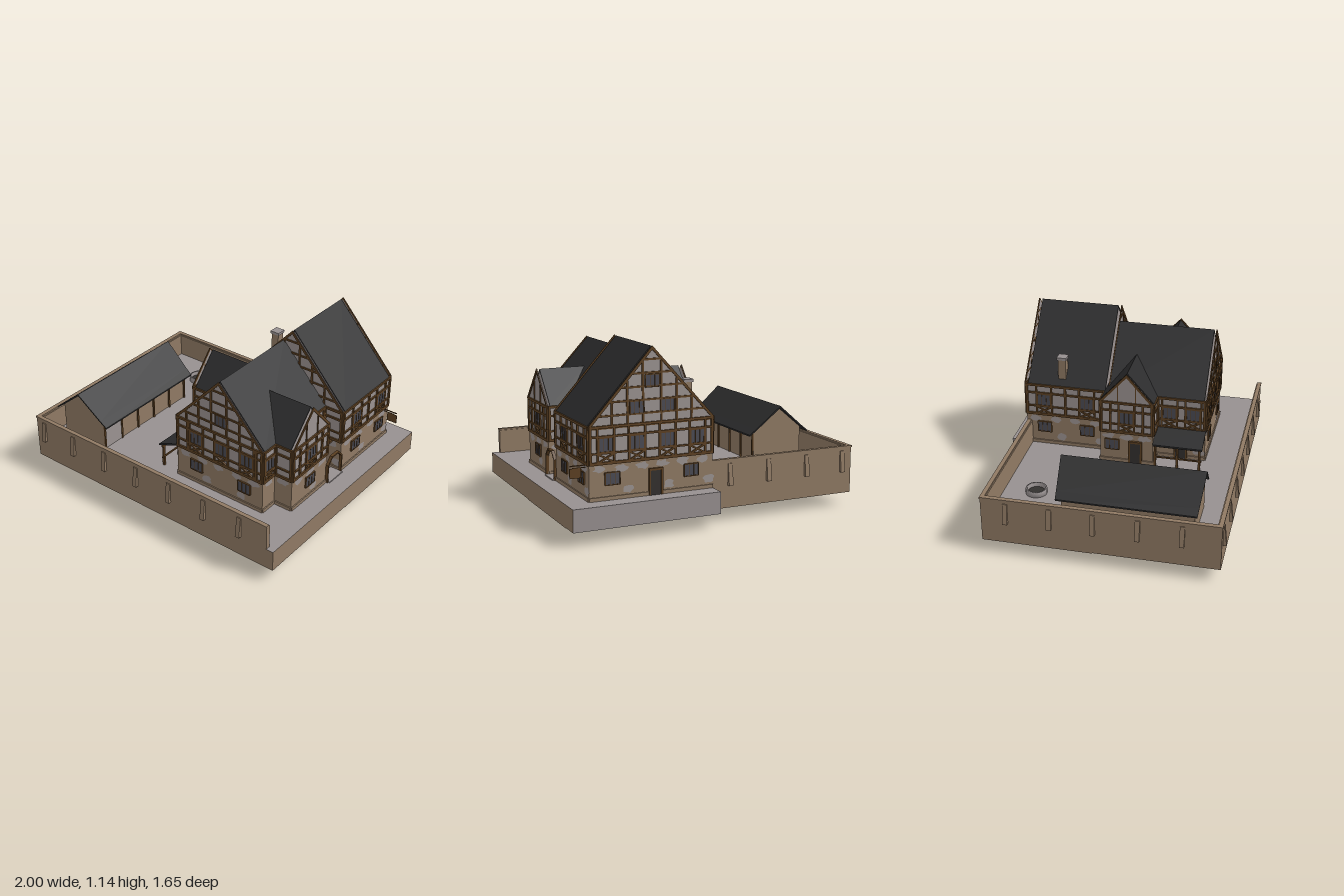
import * as THREE from 'three';

const mat = (name, color, double) => {
  const m = new THREE.MeshStandardMaterial({ color });
  m.name = name;
  if (double) m.side = THREE.DoubleSide;
  return m;
};

export function createModel() {
  const root = new THREE.Group();
  root.name = 'timberedManor';
  const plaster = mat('plaster', 0x9b9391, true), stone = mat('sandstone', 0x907a64);
  const wood = mat('timber', 0x5c4022), slate = mat('roofSlate', 0x2c2c2d);
  const paving = mat('paving', 0x979090), glass = mat('windowGlass', 0x4b4b54);
  const under = mat('underside', 0x8a8587), dark = mat('darkOpening', 0x33302e);

  const add = (parent, name, geo, m, x = 0, y = 0, z = 0) => {
    const mesh = new THREE.Mesh(geo, m);
    mesh.name = name;
    mesh.position.set(x, y, z);
    parent.add(mesh);
    return mesh;
  };
  const outline = pts => new THREE.Shape(pts.map(p => new THREE.Vector2(...p)));
  // box given by its limits
  const block = (name, m, x0, x1, y0, y1, z0, z1, parent = root) =>
    add(parent, name, new THREE.BoxGeometry(x1 - x0, y1 - y0, z1 - z0), m, (x0 + x1) / 2, (y0 + y1) / 2, (z0 + z1) / 2);
  // flat beam between two points of a facade
  const bar = (parent, name, u0, v0, u1, v1, t = 0.014, depth = 0.014) => {
    const b = add(parent, name, new THREE.BoxGeometry(Math.hypot(u1 - u0, v1 - v0), t, depth), wood, (u0 + u1) / 2, (v0 + v1) / 2, 0.003);
    b.rotation.z = Math.atan2(v1 - v0, u1 - u0);
    return b;
  };
  // cross-section extruded along z (or along x when alongX), from a to b
  const extrude = (name, m, pts, center, a, b, alongX) => {
    const mesh = add(root, name, new THREE.ExtrudeGeometry(outline(pts), { depth: b - a, bevelEnabled: false }), m);
    if (alongX) { mesh.rotation.y = Math.PI / 2; mesh.position.set(a, 0, center); }
    else mesh.position.set(center, 0, a);
    return mesh;
  };
  const chevron = (h, eave, peak, t) => [[-h, eave], [-h, eave - t], [0, peak - t], [h, eave - t], [h, eave], [0, peak]];
  const rect = (h, y0, y1) => [[-h, y0], [h, y0], [h, y1], [-h, y1]];

  let seed = 7;
  const rnd = () => (seed = (seed * 16807) % 2147483647) / 2147483647;

  const LOW = 0.23, MID = 0.45, EAVE = 0.68;

  // ---- terrace, cellar and yard walls ----
  block('terrace', [stone, stone, paving, under, stone, stone], -0.98, 1, 0.09, LOW, -0.71, 0.8);
  block('backTerrace', [stone, paving, paving, under, paving, paving], 0.04, 1, 0.09, LOW, -0.83, -0.71);
  block('undersidePanel', stone, -0.98, 1, 0.086, 0.091, -0.71, 0);
  block('cellarFloor', stone, -0.09, 0.4, 0, 0.008, 0, 0.535);
  block('cellarFront', [paving, paving, paving, paving, stone, paving], -0.09, 0.4, 0, 0.09, 0.525, 0.535);
  block('cellarBack', stone, -0.09, 0.4, 0, 0.09, 0, 0.01);
  block('cellarLeft', [paving, stone, stone, stone, stone, stone], -0.09, -0.08, 0, 0.09, 0, 0.535);
  block('cellarRight', stone, 0.39, 0.4, 0.015, 0.09, 0, 0.18);

  block('yardWallFront', stone, -0.98, 0.95, LOW, 0.39, 0.768, 0.8);
  block('yardWallSide', stone, -0.98, -0.945, LOW, 0.39, -0.71, 0.8);
  block('yardWallBack', stone, -0.98, 0.04, LOW, 0.39, -0.71, -0.678);
  block('wallCapFront', stone, -0.985, 0.95, 0.388, 0.4, 0.775, 0.803);
  block('wallCapSide', stone, -0.985, -0.955, 0.388, 0.4, -0.713, 0.803);
  block('wallCapBack', stone, -0.985, 0.04, 0.388, 0.4, -0.713, -0.685);
  // tapering buttresses
  const buttress = (x, z, ry) => {
    const s = outline([[0, 0.23], [0.022, 0.23], [0.006, 0.37], [0, 0.37]]);
    const g = new THREE.ExtrudeGeometry(s, { depth: 0.03, bevelEnabled: false }).translate(0, 0, -0.015);
    add(root, 'buttress', g, stone, x, 0, z).rotation.y = ry;
  };
  [-0.91, -0.64, -0.36, -0.085, 0.19, 0.47, 0.745].forEach((x, i) => {
    buttress(x, 0.8, -Math.PI / 2);
    if (i < 4) buttress(x, -0.71, Math.PI / 2);
  });
  [-0.55, -0.27, 0.005, 0.285, 0.56].forEach(z => buttress(-0.98, z, Math.PI));

  // ---- building volumes: stone ground floor, plaster above, slate roof ----
  const wing = (name, half, peak, center, a, b, roofA, roofB, alongX) => {
    extrude(name + 'Ground', stone, rect(half, LOW, MID), center, a, b, alongX);
    extrude(name + 'Upper', plaster, rect(half, MID, EAVE - 0.012), center, a, b, alongX);
    extrude(name + 'Attic', plaster, [[-half, EAVE - 0.013], [half, EAVE - 0.013], [0, peak - 0.013]], center, roofA + 0.002, roofB - 0.002, alongX);
    extrude(name + 'Roof', slate, chevron(half + 0.004, EAVE, peak, 0.012), center, roofA, roofB, alongX);
  };
  wing('frontWing', 0.34, 1.05, 0.38, -0.14, 0.53, -0.14, 0.518);
  wing('backWing', 0.4075, 1.135, 0.4475, -0.715, -0.14, -0.697, -0.157);
  wing('rightWing', 0.195, 0.895, 0.21, 0.6, 0.85, 0.52, 0.835, true);
  wing('leftWing', 0.18, 0.887, 0.02, -0.095, 0.2, -0.075, 0.23, true);
  block('backTieBeam', wood, 0.04, 0.855, 0.66, 0.674, -0.717, -0.7);
  block('innerTieBeam', wood, 0.04, 0.855, 0.66, 0.674, -0.156, -0.138);
  block('innerPost', wood, 0.7, 0.722, EAVE - 0.02, 0.815, -0.156, -0.14);

  // ---- facades: timber frame, windows and plaster patches ----
  const pane = (g, u, v, w, h) => {
    add(g, 'windowPane', new THREE.BoxGeometry(w, h, 0.006), glass, u, v, 0.004);
    [-0.5, -0.17, 0.17, 0.5].forEach(k => bar(g, 'windowMullion', u + k * w, v - h / 2, u + k * w, v + h / 2, Math.abs(k) === 0.5 ? 0.006 : 0.003));
    [-0.5, 0.5].forEach(k => bar(g, 'windowRail', u - w / 2, v + k * h, u + w / 2, v + k * h, 0.006));
  };
  const patch = (g, u, v, w, h) => {
    const pts = [];
    for (let i = 0; i < 11; i++) {
      const a = i / 11 * Math.PI * 2, r = 0.55 + rnd() * 0.5;
      pts.push([Math.cos(a) * w * r, Math.sin(a) * h * r]);
    }
    add(g, 'plasterPatch', new THREE.ShapeGeometry(outline(pts)), plaster, u, v, 0.002);
  };
  const facade = (name, x, z, ry, w, { peak, wins = [], low = [], gable = [], posts = [], door, rails = true } = {}) => {
    const g = new THREE.Group(), h = w / 2;
    g.name = name;
    g.position.set(x, 0, z);
    g.rotation.y = ry;
    root.add(g);
    [[0.457, 0.018], [0.517, 0.011], [0.617, 0.013], [0.675, 0.016]].forEach(([v, t]) => bar(g, 'rail', -h, v, h, v, t));
    [-h + 0.008, h - 0.008, ...posts].forEach(u => bar(g, 'post', u, MID, u, EAVE, 0.016));
    wins.forEach(u => {
      pane(g, u, 0.567, 0.09, 0.085);
      [-1, 1].forEach(s => {
        bar(g, 'post', u + s * 0.053, MID, u + s * 0.053, EAVE, 0.012);
        bar(g, 'crossBrace', u - 0.048, 0.487 - s * 0.025, u + 0.048, 0.487 + s * 0.025, 0.011);
      });
    });
    // ground floor
    block('plinth', stone, -h, h, LOW, 0.253, -0.01, 0.008, g);
    low.forEach(u => pane(g, u, 0.36, 0.095, 0.075));
    if (door !== undefined) {
      block('door', dark, door - 0.035, door + 0.035, LOW, 0.385, 0, 0.01, g);
      [-0.04, 0.04].forEach(d => bar(g, 'doorPost', door + d, LOW, door + d, 0.39, 0.012, 0.024));
      bar(g, 'doorLintel', door - 0.046, 0.39, door + 0.046, 0.39, 0.014, 0.024);
    }
    const n = Math.floor(w / 0.12);
    for (let i = 0; i < n; i++) {
      const u = -h + (i + 0.5) * w / n;
      patch(g, u, 0.42, 0.05, 0.027);
      if (i % 2) patch(g, u + 0.04, 0.288, 0.045, 0.032);
    }
    if (!peak) return;
    // gable wall and lattice
    add(g, 'gableWall', new THREE.ShapeGeometry(outline([[-h, EAVE - 0.015], [h, EAVE - 0.015], [0, peak - 0.01]])), plaster);
    const rise = peak - EAVE, top = u => EAVE + rise * (1 - Math.abs(u) / h) - 0.02;
    for (let v = 0.738; rails && v < peak - 0.06; v += 0.08) {
      const e = h * (1 - (v - EAVE) / rise) - 0.012;
      bar(g, 'gableRail', -e, v, e, v, 0.012, 0.008);
    }
    for (let u = 0.06; u < h - 0.06; u += 0.1)
      [-u, u].forEach(k => bar(g, 'gablePost', k, EAVE, k, top(k), rails ? 0.013 : 0.007, 0.008));
    gable.forEach(([u, v]) => pane(g, u, v, 0.09, 0.075));
    add(g, 'bargeBoard', new THREE.ExtrudeGeometry(outline(chevron(h + 0.004, EAVE + 0.003, peak + 0.003, 0.024)), { depth: 0.007, bevelEnabled: false }), wood, 0, 0, 0.001);
  };
  const R = Math.PI / 2, L = -R, B = Math.PI;
  facade('frontGable', 0.38, 0.53, 0, 0.68, { peak: 1.05, wins: [-0.18, 0.02, 0.22], low: [-0.18, 0.2], gable: [[0.02, 0.777]], posts: [-0.25, 0.29] });
  facade('backGable', 0.4475, -0.715, B, 0.815, { peak: 1.135, wins: [-0.3, -0.1, 0.1, 0.3], low: [-0.26, 0.26], gable: [[-0.1, 0.777], [0.1, 0.777], [0, 0.93]], door: 0.02 });
  facade('innerGable', 0.4475, -0.14, 0, 0.815, { peak: 1.135 });
  facade('rightGable', 0.85, 0.21, R, 0.39, { peak: 0.895, wins: [0], low: [0], posts: [-0.12, 0.12], rails: false });
  facade('leftGable', -0.095, 0.02, L, 0.36, { peak: 0.887, wins: [0], low: [-0.1], posts: [-0.11, 0.11], door: 0.06, rails: false });
  facade('rightWingFront', 0.785, 0.405, 0, 0.13);
  facade('rightWingBack', 0.785, 0.015, B, 0.13);
  facade('frontWingRight', 0.72, 0.4675, R, 0.125, { wins: [0] });
  facade('entranceWall', 0.72, -0.0625, R, 0.155, { wins: [0] });
  facade('backWingRight', 0.855, -0.4275, R, 0.575, { wins: [-0.12, 0.17], low: [-0.12, 0.17], posts: [0.02] });
  facade('backWingLeft', 0.04, -0.4375, L, 0.555, { wins: [-0.15, 0.15], low: [-0.15, 0.15], posts: [0] });
  facade('frontWingLeft', 0.04, 0.365, L, 0.33, { wins: [-0.08, 0.08], door: 0 });
  facade('leftWingFront', -0.0275, 0.2, 0, 0.135);
  facade('leftWingBack', -0.0275, -0.16, B, 0.135);

  // ---- entrance arch, doorway and steps ----
  const arch = outline([[-0.085, 0.23], [0.08, 0.23], [0.08, 0.365], [0.038, 0.415], [-0.043, 0.415], [-0.085, 0.365]]);
  arch.holes.push(new THREE.Path([[-0.076, 0.231], [-0.076, 0.362], [-0.038, 0.405], [0.033, 0.405], [0.071, 0.362], [0.071, 0.231]].map(p => new THREE.Vector2(...p))));
  add(root, 'entranceArch', new THREE.ExtrudeGeometry(arch, { depth: 0.02, bevelEnabled: false }), wood, 0.85, 0, -0.06).rotation.y = R;
  block('doorstep', paving, 0.79, 0.88, LOW, 0.238, -0.135, 0.015);
  block('entranceCanopy', wood, 0.72, 0.79, 0.435, 0.45, -0.135, 0.015);
  block('doorwayFrame', wood, 0.72, 0.731, LOW, 0.39, -0.1, 0.005);
  block('doorwayPanel', stone, 0.72, 0.733, LOW, 0.384, -0.094, -0.001);
  for (let i = 0; i < 8; i++) block('stairTread', wood, 0.735, 0.79 - i * 0.006, 0.245 + i * 0.017, 0.253 + i * 0.017, -0.09, -0.055);

  // ---- hanging sign ----
  block('signArm', wood, 0.855, 0.955, 0.442, 0.449, -0.667, -0.663);
  block('signBrace', wood, 0.855, 0.94, 0.43, 0.434, -0.667, -0.663);
  block('signBoard', wood, 0.885, 0.958, 0.37, 0.43, -0.667, -0.663);

  // ---- lean-to porch ----
  extrude('porchRoof', slate, [[-0.115, 0.385], [0.04, 0.45], [0.04, 0.462], [-0.115, 0.397]], 0, 0.2, 0.535);
  [0.215, 0.365, 0.515].forEach(z => block('porchPost', wood, -0.1, -0.085, LOW, 0.392, z - 0.0075, z + 0.0075));
  block('porchBeam', wood, -0.1, -0.085, 0.375, 0.392, 0.205, 0.53);
  block('porchRail', wood, -0.097, -0.088, 0.29, 0.3, 0.205, 0.53);

  // ---- chimney ----
  block('chimney', stone, 0.073, 0.127, 0.68, 0.862, -0.492, -0.438);
  block('chimneyCap', paving, 0.067, 0.133, 0.862, 0.88, -0.498, -0.432);

  // ---- shed with flared eaves and a ridge that juts out at both ends ----
  extrude('shedWalls', stone, [[-0.18, LOW], [0.18, LOW], [0.18, 0.445], [0, 0.595], [-0.18, 0.445]], -0.71, -0.215, 0.62);
  const shedRoof = extrude('shedRoof', slate, [[-0.225, 0.42], [-0.225, 0.41], [-0.18, 0.443], [0, 0.593], [0.18, 0.443], [0.225, 0.41], [0.225, 0.42], [0.18, 0.455], [0, 0.606], [-0.18, 0.455]], -0.71, -0.24, 0.64);
  const p = shedRoof.geometry.attributes.position;
  for (let i = 0; i < p.count; i++) p.setZ(i, p.getZ(i) + (p.getZ(i) > 0.4 ? 1 : -1) * (p.getY(i) - 0.41) * 0.1);
  shedRoof.geometry.computeVertexNormals();
  block('shedPanel', plaster, -0.531, -0.526, LOW, 0.43, 0.44, 0.61);
  for (let i = 0; i < 6; i++) block('shedPost', wood, -0.532, -0.52, LOW, 0.435, -0.212 + i * 0.164, -0.2 + i * 0.164);
  block('shedBeam', wood, -0.532, -0.52, 0.415, 0.43, -0.215, 0.62);

  // ---- well ----
  const ring = [[0.056, 0], [0.07, 0], [0.07, 0.035], [0.056, 0.035], [0.056, 0]].map(q => new THREE.Vector2(...q));
  add(root, 'wellRing', new THREE.LatheGeometry(ring, 20), paving, -0.595, LOW, -0.465);
  add(root, 'wellWater', new THREE.CylinderGeometry(0.057, 0.057, 0.008, 20), dark, -0.595, LOW + 0.004, -0.465);

  return root;
}
